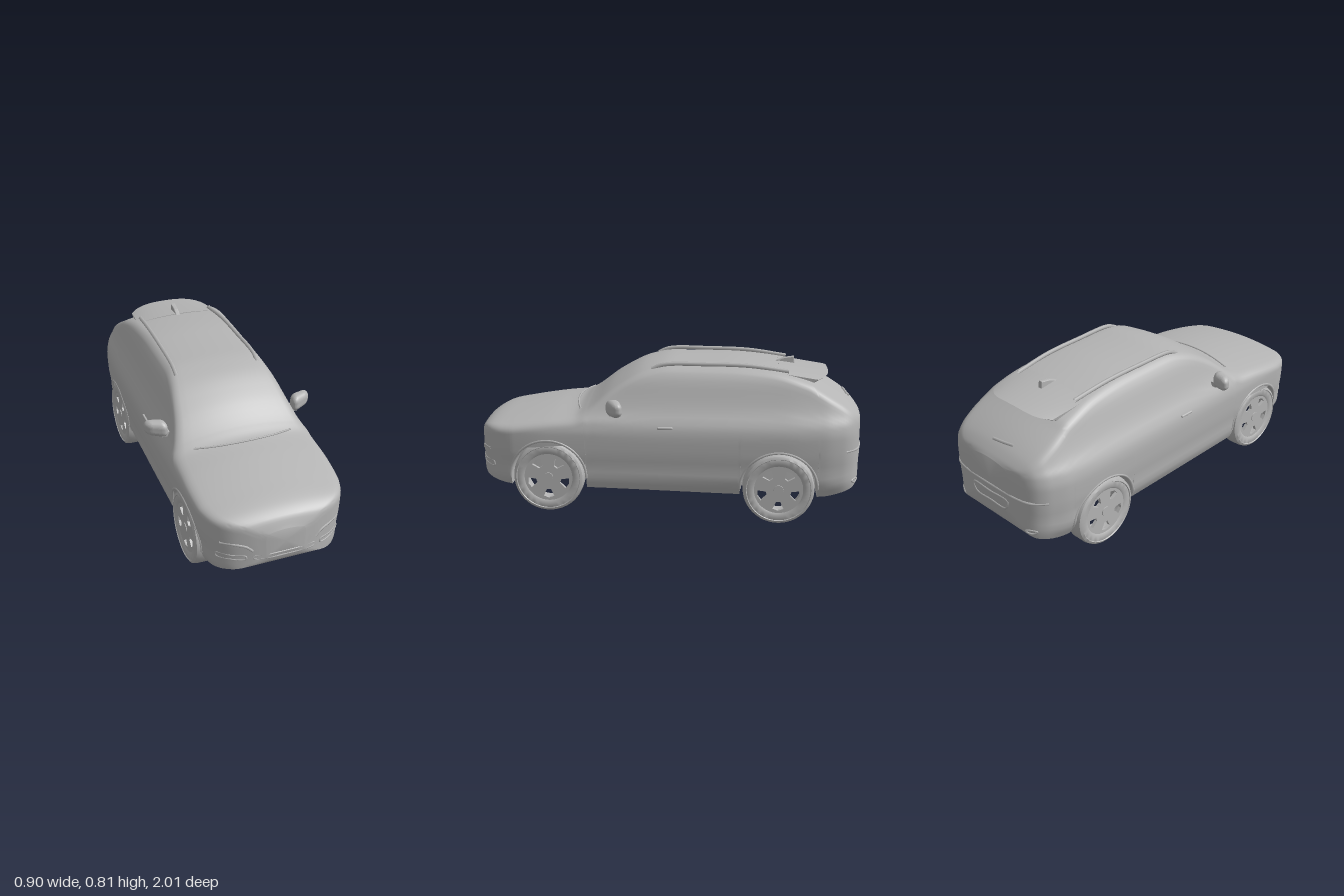
import * as THREE from 'three';
import { toCreasedNormals } from 'three/addons/utils/BufferGeometryUtils.js';
import { RoundedBoxGeometry } from 'three/addons/geometries/RoundedBoxGeometry.js';

const clay = new THREE.MeshStandardMaterial({ color: 0xb4b4b4, side: THREE.DoubleSide });
clay.name = 'plain grey';

// Smooth interpolation through [key, value] pairs, without overshoot
function smooth(table, k) {
  const n = table.length - 1;
  if (k <= table[0][0]) return table[0][1];
  if (k >= table[n][0]) return table[n][1];
  let i = 0;
  while (k > table[i + 1][0]) i++;
  const slope = (a) => (table[a + 1][1] - table[a][1]) / (table[a + 1][0] - table[a][0]);
  const tangent = (a) => {
    if (a === 0) return slope(0);
    if (a === n) return slope(n - 1);
    const p = slope(a - 1), q = slope(a);
    return p * q <= 0 ? 0 : (2 * p * q) / (p + q);
  };
  const h = table[i + 1][0] - table[i][0], t = (k - table[i][0]) / h, t2 = t * t, t3 = t2 * t;
  return table[i][1] * (2 * t3 - 3 * t2 + 1) + table[i + 1][1] * (3 * t2 - 2 * t3)
    + h * (tangent(i) * (t3 - 2 * t2 + t) + tangent(i + 1) * (t3 - t2));
}

// Centreline top, underside, plan half width (by z) and flank half width (by y)
const TOP = [[-1, 0.54], [-0.985, 0.56], [-0.94, 0.605], [-0.78, 0.71], [-0.72, 0.745], [-0.55, 0.785], [-0.29, 0.805],
  [-0.02, 0.806], [0.115, 0.786], [0.275, 0.71], [0.41, 0.612], [0.47, 0.582], [0.6, 0.565], [0.78, 0.535], [0.9, 0.51], [0.97, 0.475], [1, 0.42]];
const FLOOR = [[-1, 0.28], [-0.98, 0.2], [-0.95, 0.175], [-0.78, 0.138], [-0.4, 0.147], [0.4, 0.17], [0.78, 0.175], [0.95, 0.205], [0.985, 0.23], [1, 0.27]];
const PLAN = [[-1, 0.14], [-0.985, 0.24], [-0.95, 0.305], [-0.9, 0.34], [-0.8, 0.367], [-0.6, 0.378], [0, 0.38], [0.6, 0.378],
  [0.78, 0.367], [0.85, 0.348], [0.9, 0.32], [0.95, 0.26], [0.985, 0.17], [1, 0.1]];
const FLANK = [[0.13, 0.32], [0.18, 0.348], [0.22, 0.364], [0.28, 0.366], [0.36, 0.376], [0.46, 0.38], [0.52, 0.368],
  [0.56, 0.343], [0.6, 0.324], [0.66, 0.302], [0.72, 0.282], [0.77, 0.256], [0.82, 0.21]];
const CROWN = [[-1, 0.02], [-0.75, 0.03], [-0.5, 0.016], [0, 0.014], [0.2, 0.03], [0.45, 0.045], [0.8, 0.04], [1, 0.015]];
const WHEELS = [{ name: 'front', z: 0.605, y: 0.226 }, { name: 'rear', z: -0.58, y: 0.186 }];
const ARCH = 0.197;
const sideX = (y, z) => smooth(FLANK, y) * smooth(PLAN, z) / 0.38;

// Half section from the underside centre, round the flank, to the roof centre
function halfSection(z, arch) {
  const floor = smooth(FLOOR, z);
  const low = arch ? Math.max(floor, arch.y + Math.sqrt(Math.max(0, ARCH ** 2 - (z - arch.z) ** 2))) : floor;
  const crown = smooth(CROWN, z), edge = smooth(TOP, z) - crown, r = 0.03;
  const mid = Math.min(0.45, floor + 0.7 * (edge - r - floor));
  const well = Math.min(0.24, 0.6 * sideX(floor, z));
  const pts = [[0, floor], [well / 2, floor], [well, floor], [well, low]];
  for (let i = 0; i <= 9; i++) { const y = low + (mid - low) * i / 9; pts.push([sideX(y, z), y]); }
  for (let i = 1; i <= 9; i++) { const y = mid + (edge - r - mid) * i / 9; pts.push([sideX(y, z), y]); }
  const x0 = sideX(edge - r, z), xe = sideX(edge, z), x1 = xe * 0.87, y1 = edge + crown * (1 - 0.87 ** 2);
  for (let i = 1; i <= 5; i++) {
    const t = i / 5, a = (1 - t) ** 2, b = 2 * t * (1 - t), c = t * t;
    pts.push([a * x0 + b * xe + c * x1, a * (edge - r) + b * edge + c * y1]);
  }
  for (let i = 1; i <= 7; i++) { const f = 0.87 * (1 - i / 7); pts.push([xe * f, edge + crown * (1 - f * f)]); }
  return pts;
}

function bodyGeometry() {
  // Stations: fine at both ends, doubled at the edges of the wheel arches
  const stations = [];
  for (const w of WHEELS) {
    for (let i = 0; i <= 28; i++) stations.push([w.z - ARCH * Math.cos(Math.PI * i / 28), w]);
    stations.push([w.z - ARCH - 1e-4, null], [w.z + ARCH + 1e-4, null]);
  }
  for (let i = 0; i <= 100; i++) {
    const z = Math.sin((i / 50 - 1) * Math.PI / 2);
    if (WHEELS.every((w) => Math.abs(z - w.z) > ARCH + 0.002)) stations.push([z, null]);
  }
  stations.sort((a, b) => a[0] - b[0]);
  const pos = [], index = [];
  let n = 0;
  for (const [z, arch] of stations) {
    const half = halfSection(z, arch);
    const ring = half.concat(half.slice(1, -1).reverse().map(([x, y]) => [-x, y]));
    n = ring.length;
    for (const [x, y] of ring) pos.push(x, y, z);
  }
  for (let i = 0; i < stations.length - 1; i++) for (let j = 0; j < n; j++) {
    const a = i * n + j, b = i * n + (j + 1) % n;
    index.push(a, b, b + n, a, b + n, a + n);
  }
  const last = (stations.length - 1) * n, c = stations.length * n;
  pos.push(0, 0.42, -1, 0, 0.35, 1);
  for (let j = 0; j < n; j++) {
    const k = (j + 1) % n;
    index.push(c, k, j, c + 1, last + j, last + k);
  }
  const g = new THREE.BufferGeometry();
  g.setAttribute('position', new THREE.Float32BufferAttribute(pos, 3));
  g.setIndex(index);
  return toCreasedNormals(g, 0.7);
}

// Moves every vertex by a rule
function bend(g, rule) {
  const p = g.attributes.position, v = new THREE.Vector3();
  for (let i = 0; i < p.count; i++) { v.fromBufferAttribute(p, i); rule(v); p.setXYZ(i, v.x, v.y, v.z); }
  g.computeVertexNormals();
  return g;
}

export function createModel() {
  const car = new THREE.Group();
  car.name = 'car';
  const add = (name, geometry, parent = car) => {
    const m = new THREE.Mesh(geometry, clay);
    m.name = name;
    parent.add(m);
    return m;
  };
  const tube = (name, pts, r, closed = false) => add(name, new THREE.TubeGeometry(
    new THREE.CatmullRomCurve3(pts.map((p) => new THREE.Vector3(...p)), closed), 40, r, 6, closed));

  add('body', bodyGeometry());

  // Roof spoiler overhanging the rear window
  add('rearSpoiler', toCreasedNormals(bend(new THREE.BoxGeometry(2, 1, 1, 16, 1, 8), (v) => {
    const u = v.x, w = 0.5 - v.z, up = v.y > 0;
    const z = -0.57 - w * (0.26 - 0.06 * Math.abs(u) ** 4) + (up ? 0 : 0.05 * w);
    v.set(u * (0.235 - 0.02 * w), 0.786 - 0.035 * w - 0.02 * u * u - (up ? 0 : 0.03), z);
  }), 0.7));

  // Wheels: tyre, and a rim pierced by five windows
  const tyre = toCreasedNormals(new THREE.LatheGeometry([[0.12, -0.045], [0.135, -0.052], [0.165, -0.056], [0.178, -0.048],
    [0.183, -0.03], [0.183, 0.03], [0.178, 0.048], [0.165, 0.056], [0.162, 0.052], [0.135, 0.052], [0.125, 0.046], [0.12, -0.045]]
    .map(([r, y]) => new THREE.Vector2(r, y)), 48), 0.6).rotateZ(-Math.PI / 2);
  const disc = new THREE.Shape().absarc(0, 0, 0.128, 0, Math.PI * 2);
  for (let i = 0; i < 5; i++) {
    const a = -Math.PI / 2 + i * Math.PI * 0.4;
    const at = (r, d) => new THREE.Vector2(r * Math.cos(a + d), r * Math.sin(a + d));
    disc.holes.push(new THREE.Path([at(0.066, -0.16), at(0.106, -0.27), at(0.112, 0), at(0.106, 0.27), at(0.066, 0.16)]));
  }
  const rim = new THREE.ExtrudeGeometry(disc, { depth: 0.018, bevelEnabled: false, curveSegments: 40 })
    .translate(0, 0, 0.028).rotateY(Math.PI / 2);
  const hub = new THREE.CylinderGeometry(0.024, 0.032, 0.04, 24).rotateZ(-Math.PI / 2).translate(0.03, 0, 0);

  for (const s of [1, -1]) {
    const side = s > 0 ? 'left' : 'right';
    for (const w of WHEELS) {
      const wheel = new THREE.Group();
      wheel.name = `${side} ${w.name} wheel`;
      add('tyre', tyre, wheel);
      add('rim', rim, wheel);
      add('hub', hub, wheel);
      wheel.position.set(s * 0.316, w.y, w.z);
      if (s < 0) wheel.rotation.y = Math.PI;
      car.add(wheel);
      // Lip that follows the arch on the flank
      const lip = [];
      for (let i = 0; i <= 20; i++) {
        const a = Math.PI * i / 20, y = w.y + 0.199 * Math.sin(a), z = w.z + 0.199 * Math.cos(a);
        lip.push([s * (sideX(y, z) - 0.002), y, z]);
      }
      tube(`${side} ${w.name} arch lip`, lip, 0.007);
    }
    // Door mirror, swept back and tapering outwards
    add(`${side} mirror`, bend(new RoundedBoxGeometry(0.11, 0.09, 0.075, 5, 0.034), (v) => {
      const t = v.x / 0.11 + 0.5;
      v.set(s * (0.394 + v.x), 0.601 + v.y * (1.02 - 0.2 * t) + 0.006 * t, 0.272 - 0.04 * t + v.z * (1.1 - 0.35 * t));
    })).material = clay;
    add(`${side} mirror stalk`, new THREE.BoxGeometry(0.05, 0.025, 0.045).translate(s * 0.345, 0.573, 0.26));
    // Roof rail and door handle
    tube(`${side} roof rail`, [[s * 0.222, 0.775, 0.08], [s * 0.222, 0.799, 0.02], [s * 0.217, 0.803, -0.2], [s * 0.213, 0.797, -0.42],
      [s * 0.205, 0.77, -0.62]], 0.011);
    add(`${side} door handle`, new RoundedBoxGeometry(0.016, 0.014, 0.08, 3, 0.006).translate(s * sideX(0.503, 0), 0.503, 0));
  }

  // Nose and tail mouldings, laid on the curved ends
  const NOSE = [[0, 1], [0.1, 0.998], [0.17, 0.985], [0.26, 0.95], [0.32, 0.9], [0.348, 0.85], [0.367, 0.78]];
  const TAIL = [[0, -1], [0.14, -0.998], [0.24, -0.985], [0.305, -0.95], [0.34, -0.9], [0.367, -0.8]];
  const onEnd = (table, list) => list.map(([x, y]) => [x, y, smooth(table, Math.abs(x) * 0.38 / smooth(FLANK, y)) * 0.998]);
  tube('lower grille frame', onEnd(NOSE, [[-0.16, 0.285], [-0.08, 0.288], [0, 0.288], [0.08, 0.288], [0.16, 0.285],
    [0.15, 0.27], [0.08, 0.268], [0, 0.268], [-0.08, 0.268], [-0.15, 0.27]]), 0.005, true);
  tube('number plate recess frame', onEnd(TAIL, [[-0.13, 0.34], [0, 0.343], [0.13, 0.34], [0.11, 0.295], [0, 0.292], [-0.11, 0.295]]), 0.007, true);
  tube('rear bumper ledge', onEnd(TAIL, [-0.33, -0.27, -0.18, -0.09, 0, 0.09, 0.18, 0.27, 0.33].map((x) => [x, 0.385])), 0.008);
  for (const s of [1, -1]) {
    const side = s > 0 ? 'left' : 'right';
    tube(`${side} headlamp brow`, onEnd(NOSE, [[s * 0.16, 0.32], [s * 0.19, 0.345], [s * 0.24, 0.357], [s * 0.3, 0.358]]), 0.007);
    tube(`${side} fog lamp frame`, onEnd(NOSE, [[s * 0.19, 0.288], [s * 0.25, 0.29], [s * 0.31, 0.288], [s * 0.31, 0.27], [s * 0.25, 0.267], [s * 0.19, 0.27]]), 0.005, true);
    tube(`${side} rear reflector`, onEnd(TAIL, [[s * 0.23, 0.215], [s * 0.255, 0.225], [s * 0.285, 0.22], [s * 0.26, 0.205]]), 0.006, true);
  }

  // Wipers and roof fin
  const onTop = (x, z) => {
    const c = smooth(CROWN, z), y = smooth(TOP, z);
    return [x, y - c * (x / sideX(y - c, z)) ** 2 + 0.002, z];
  };
  tube('windscreen wipers', [-0.26, -0.17, -0.08, 0, 0.08, 0.17, 0.26].map((x) => onTop(x, 0.485 - 0.6 * x * x)), 0.005);
  tube('rear wiper', [onTop(-0.11, -0.925), onTop(-0.04, -0.935), onTop(0.02, -0.94)], 0.008);
  const fin = new THREE.Shape([[0.54, 0.775], [0.6, 0.798], [0.65, 0.806], [0.655, 0.765]].map((p) => new THREE.Vector2(...p)));
  add('roof fin', new THREE.ExtrudeGeometry(fin, { depth: 0.012, bevelSize: 0.004, bevelThickness: 0.006, bevelSegments: 2 })
    .translate(0, 0, -0.006).rotateY(Math.PI / 2));
  return car;
}
